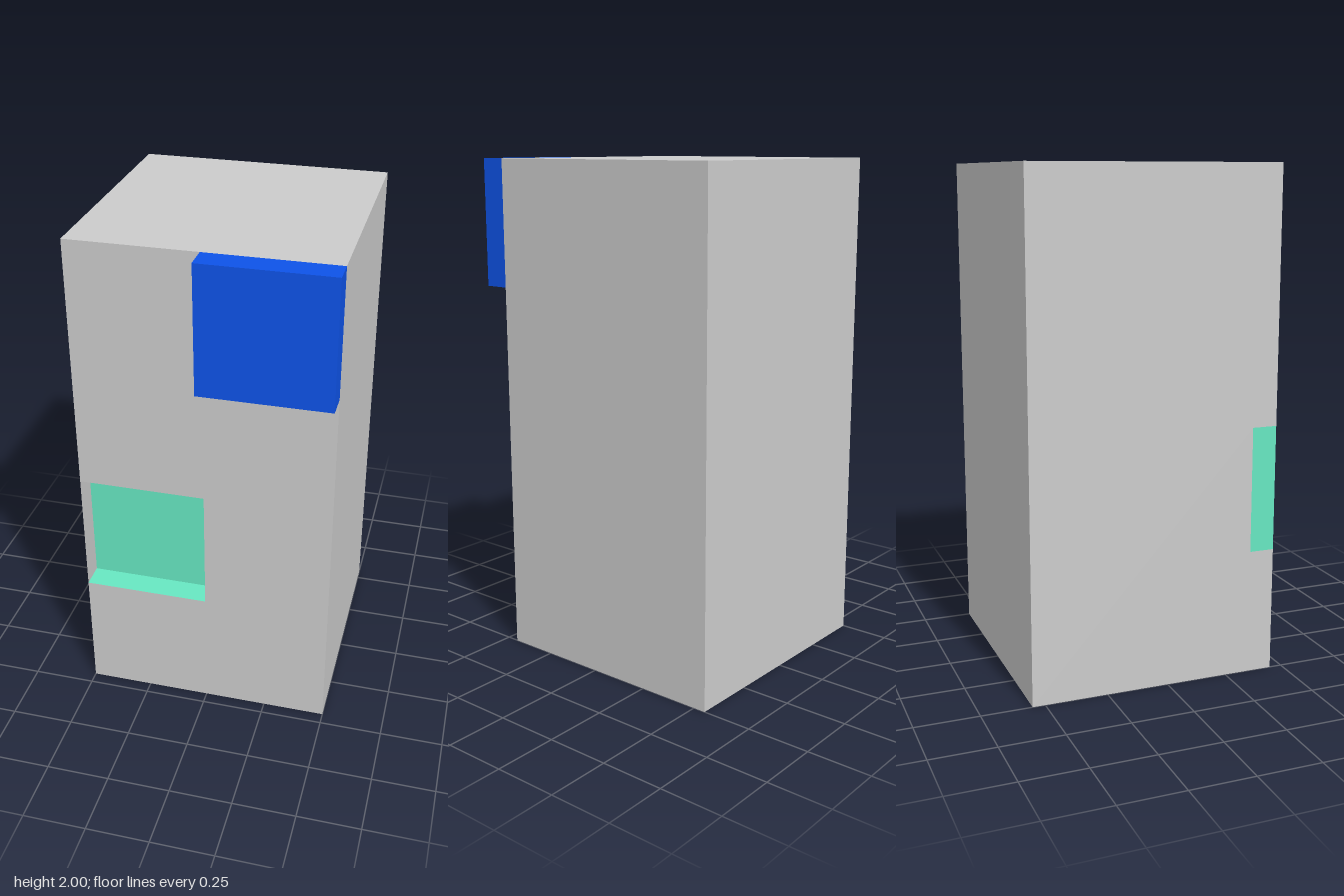
import * as THREE from 'three';

const GREY = 0xcccccc, BLUE = 0x0e53e8, TEAL = 0x67e7c2;
const FRONT = 0.45, BACK = -0.55, RECESS = 0.35;
const HALF = Math.PI / 2;

function addMesh(parent, name, geometry, color, position, rotX = 0, rotY = 0) {
  const mesh = new THREE.Mesh(geometry, new THREE.MeshStandardMaterial({ color }));
  mesh.name = name;
  mesh.position.set(...position);
  mesh.rotation.set(rotX, rotY, 0);
  parent.add(mesh);
  return mesh;
}

// Flat wall from a list of corners, counter-clockwise
const wall = (corners) =>
  new THREE.ShapeGeometry(new THREE.Shape(corners.map(([x, y]) => new THREE.Vector2(x, y))));
const plane = (w, h) => new THREE.PlaneGeometry(w, h);

export function createModel() {
  const model = new THREE.Group();
  const midZ = (FRONT + BACK) / 2;
  const recessZ = (FRONT + RECESS) / 2;
  const depth = FRONT - RECESS;

  // Upright block: closed shell with a square opening in its front
  const body = new THREE.Group();
  body.name = 'body';
  addMesh(body, 'frontWall', wall([
    [-0.5, 0], [0.5, 0], [0.5, 2], [-0.5, 2], [-0.5, 1], [0, 1], [0, 0.5], [-0.5, 0.5],
  ]), GREY, [0, 0, FRONT]);
  addMesh(body, 'rightWall', wall([
    [BACK, 0], [FRONT, 0], [FRONT, 0.5], [RECESS, 0.5], [RECESS, 1], [FRONT, 1], [FRONT, 2], [BACK, 2],
  ]), GREY, [-0.5, 0, 0], 0, -HALF);
  addMesh(body, 'leftWall', plane(1, 2), GREY, [0.5, 1, midZ], 0, HALF);
  addMesh(body, 'backWall', plane(1, 2), GREY, [0, 1, BACK], 0, Math.PI);
  addMesh(body, 'top', plane(1, 1), GREY, [0, 2, midZ], -HALF);
  addMesh(body, 'bottom', plane(1, 1), GREY, [0, 0, midZ], HALF);
  model.add(body);

  // Shallow recess behind the opening
  const recess = new THREE.Group();
  recess.name = 'recess';
  addMesh(recess, 'recessBack', plane(0.5, 0.5), TEAL, [-0.25, 0.75, RECESS]);
  addMesh(recess, 'recessFloor', plane(0.5, depth), TEAL, [-0.25, 0.5, recessZ], -HALF);
  addMesh(recess, 'recessCeiling', plane(0.5, depth), TEAL, [-0.25, 1, recessZ], HALF);
  addMesh(recess, 'recessInnerSide', plane(depth, 0.5), TEAL, [0, 0.75, recessZ], 0, -HALF);
  // Thin outer side: teal outside, grey inside
  addMesh(recess, 'recessOuterSide', plane(depth, 0.5), TEAL, [-0.5, 0.75, recessZ], 0, -HALF);
  addMesh(recess, 'recessOuterLining', plane(depth, 0.5), GREY, [-0.5, 0.75, recessZ], 0, HALF);
  model.add(recess);

  // Raised square panel in the upper corner
  addMesh(model, 'raisedPanel', new THREE.BoxGeometry(0.5, 0.5, 0.1), BLUE, [0.25, 1.75, 0.5]);

  return model;
}
